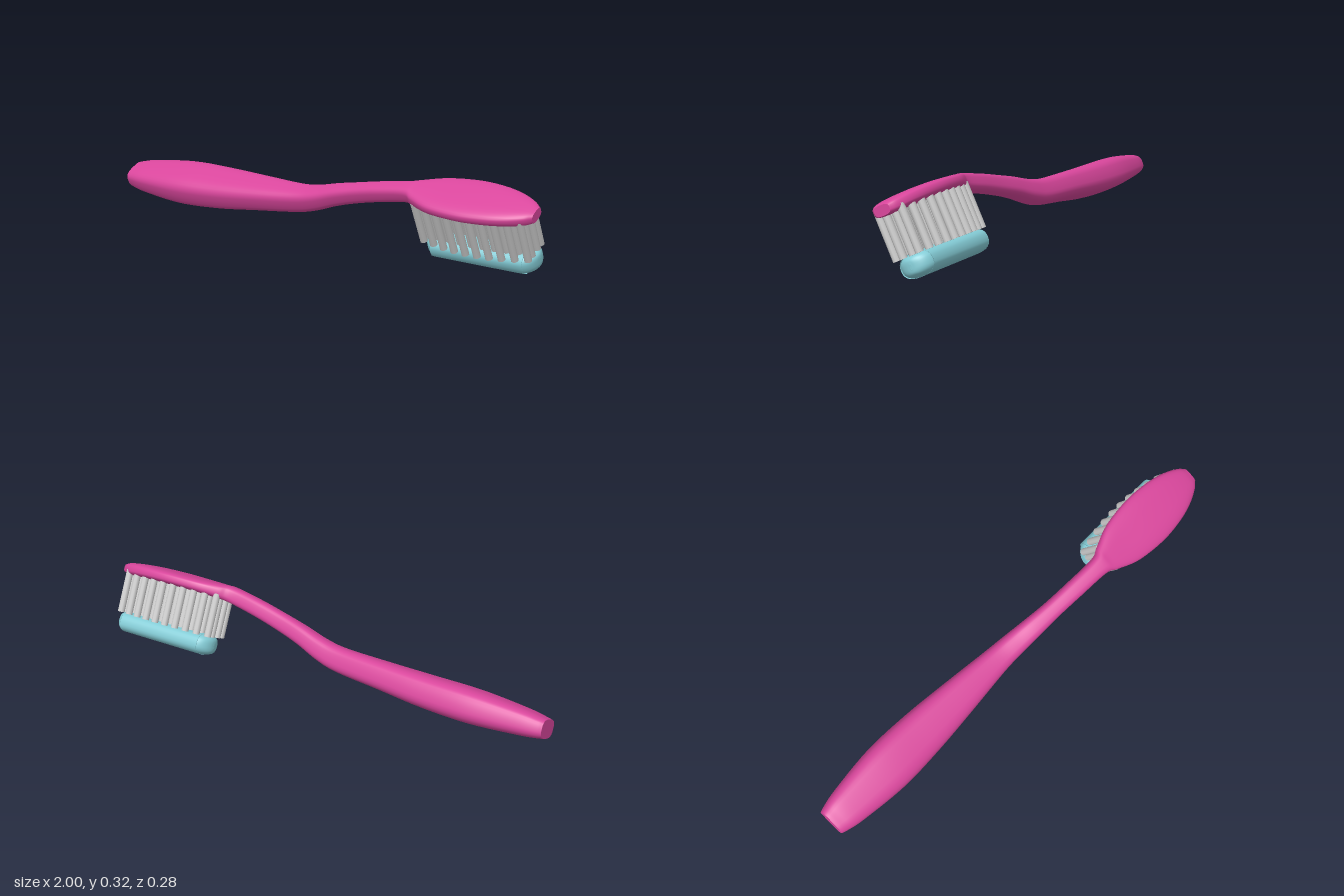
import * as THREE from 'three';

const SEG = 32;
const pink = new THREE.MeshStandardMaterial({ color: 0xd9469c });
const blue = new THREE.MeshStandardMaterial({ color: 0x84ccd6 });
const grey = new THREE.MeshStandardMaterial({ color: 0xcccccc });

// Smooth solid lofted along x through stations [x, centre height, half width, half thickness],
// with a superellipse cross-section of the given power and flat ends.
function loft(stations, power, rings) {
  const centre = new THREE.CatmullRomCurve3(
    stations.map(([x, y]) => new THREE.Vector3(x, y, 0)), false, 'catmullrom', 0.5);
  const size = new THREE.CatmullRomCurve3(
    stations.map(([, , a, b]) => new THREE.Vector3(a, b, 0)), false, 'catmullrom', 0.5);
  const pos = [], index = [];
  const bend = (s) => Math.sign(s) * Math.pow(Math.abs(s), 2 / power);
  const addRing = (t) => {
    const c = centre.getPoint(t), s = size.getPoint(t);
    for (let j = 0; j < SEG; j++) {
      const ang = (j / SEG) * Math.PI * 2;
      pos.push(c.x, c.y + s.y * bend(Math.sin(ang)), s.x * bend(Math.cos(ang)));
    }
    return c;
  };
  for (let i = 0; i <= rings; i++) addRing(i / rings);
  for (let i = 0; i < rings; i++) {
    for (let j = 0; j < SEG; j++) {
      const k = (j + 1) % SEG;
      const a = i * SEG + j, b = a + SEG, c = i * SEG + k, d = c + SEG;
      index.push(a, b, d, a, d, c);
    }
  }
  // flat end caps with their own vertices, so their rims stay crisp
  for (const t of [0, 1]) {
    const start = pos.length / 3;
    const c = addRing(t);
    const mid = pos.length / 3;
    pos.push(c.x, c.y, 0);
    for (let j = 0; j < SEG; j++) {
      const p = start + j, q = start + ((j + 1) % SEG);
      if (t === 0) index.push(mid, p, q);
      else index.push(mid, q, p);
    }
  }
  const g = new THREE.BufferGeometry();
  g.setAttribute('position', new THREE.Float32BufferAttribute(pos, 3));
  g.setIndex(index);
  g.computeVertexNormals();
  return g;
}

function addPart(parent, name, geometry, material) {
  const m = new THREE.Mesh(geometry, material);
  m.name = name;
  parent.add(m);
  return m;
}

export function createModel() {
  const model = new THREE.Group();
  model.name = 'toothbrush';

  // the whole brush is rolled about its length
  const roll = new THREE.Group();
  roll.name = 'rolledBrush';
  roll.rotation.x = THREE.MathUtils.degToRad(25);
  model.add(roll);
  const brush = new THREE.Group();
  brush.name = 'brush';
  brush.position.z = -0.081;
  roll.add(brush);

  // handle, neck and head in one continuous body
  addPart(brush, 'handleAndHead', loft([
    [-1.0, 0.081, 0.057, 0.037],
    [-0.975, 0.081, 0.065, 0.042],
    [-0.9, 0.083, 0.08, 0.052],
    [-0.7, 0.086, 0.1, 0.066],
    [-0.5, 0.091, 0.094, 0.064],
    [-0.3, 0.102, 0.076, 0.056],
    [-0.1, 0.114, 0.055, 0.05],
    [0.0, 0.134, 0.048, 0.046],
    [0.1, 0.167, 0.042, 0.041],
    [0.2, 0.194, 0.037, 0.038],
    [0.32, 0.222, 0.037, 0.036],
    [0.45, 0.246, 0.04, 0.034],
    [0.5, 0.25, 0.062, 0.031],
    [0.59, 0.252, 0.097, 0.029],
    [0.72, 0.253, 0.112, 0.029],
    [0.83, 0.251, 0.104, 0.029],
    [0.91, 0.247, 0.085, 0.028],
    [0.97, 0.242, 0.058, 0.025],
    [1.0, 0.239, 0.034, 0.019],
  ], 3, 108), pink);

  // bristle tufts: ten columns of four, drawn in towards the ends of the head
  const bristles = new THREE.Group();
  bristles.name = 'bristles';
  brush.add(bristles);
  const low = 0.058, high = 0.24;
  const tuft = new THREE.CylinderGeometry(0.015, 0.015, high - low, 10);
  for (let i = 0; i < 10; i++) {
    const x = 0.505 + i * 0.05;
    const f = Math.max(0.62, Math.sqrt(1 - ((x - 0.73) / 0.27) ** 2));
    for (const side of [-1, 1]) {
      for (const offset of [0.081 * f, Math.max(0.021, 0.029 * f)]) {
        addPart(bristles, 'bristle', tuft, grey).position.set(x, (low + high) / 2, side * offset);
      }
    }
  }

  // strip of paste pressed on the bristle tips, rounded at both ends
  const paste = [];
  const half = 0.24, round = 0.07;
  for (let i = 0; i <= 6; i++) {
    const ang = (i / 6) * Math.PI / 2;
    const s = Math.max(0.05, Math.sin(ang));
    paste.push([-half + round * (1 - Math.cos(ang)), 0.022, 0.072 * s, 0.045 * Math.sqrt(s)]);
  }
  const mirrored = paste.map(([x, ...rest]) => [-x, ...rest]).reverse();
  const strip = addPart(brush, 'paste', loft([...paste, ...mirrored], 2.5, 52), blue);
  strip.position.set(0.732, 0, -0.004);

  return model;
}
